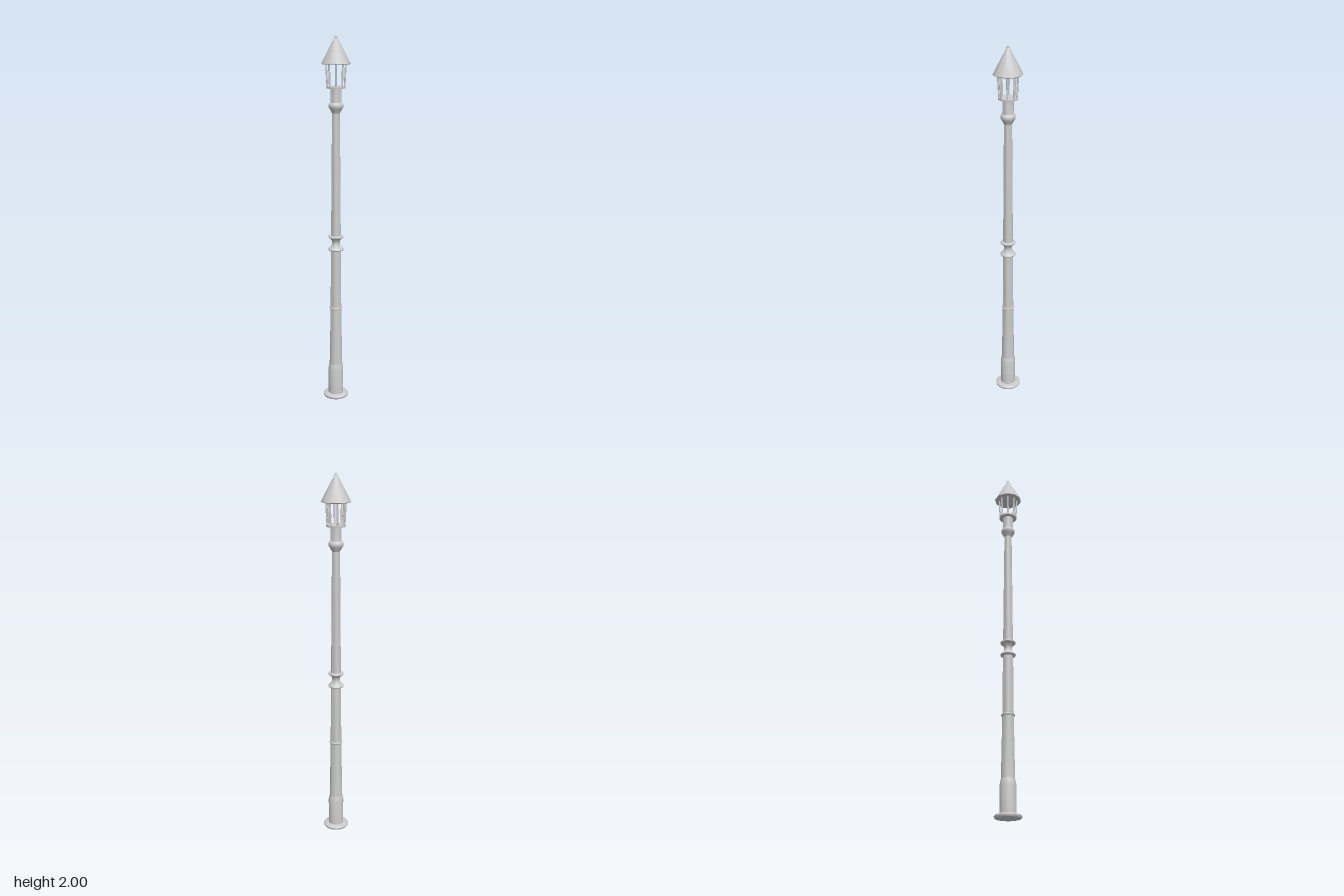
import * as THREE from 'three';
import { toCreasedNormals } from 'three/addons/utils/BufferGeometryUtils.js';

const material = new THREE.MeshStandardMaterial({ color: 0xcccccc, side: THREE.DoubleSide });

// Turned part from [radius, y] points, listed bottom to top
function turned(name, profile, sides = 20, phiStart = 0) {
  const points = profile.map(([r, y]) => new THREE.Vector2(r, y));
  const geometry = new THREE.LatheGeometry(points, sides, phiStart);
  const mesh = new THREE.Mesh(toCreasedNormals(geometry, 0.7), material);
  mesh.name = name;
  return mesh;
}

// Round bar between two points
function bar(name, from, to, radius) {
  const along = to.clone().sub(from);
  const mesh = new THREE.Mesh(new THREE.CylinderGeometry(radius, radius, along.length(), 8), material);
  mesh.position.copy(from).add(to).multiplyScalar(0.5);
  mesh.quaternion.setFromUnitVectors(new THREE.Vector3(0, 1, 0), along.normalize());
  mesh.name = name;
  return mesh;
}

export function createModel() {
  const lamp = new THREE.Group();
  lamp.name = 'streetLamp';

  // Foot plate and pedestal
  lamp.add(turned('footPlate', [[0, 0], [0.066, 0], [0.07, 0.006], [0.07, 0.012], [0.064, 0.018], [0.042, 0.02]]));
  lamp.add(turned('pedestal', [[0.042, 0.015], [0.042, 0.165], [0.04, 0.178], [0.036, 0.195]]));

  // Tapered shaft sections
  lamp.add(turned('lowerShaft', [[0.036, 0.19], [0.03, 0.525], [0.03, 0.53], [0.0275, 0.865]]));
  lamp.add(turned('upperShaft', [[0.027, 0.93], [0.021, 1.605]]));

  // Thin ring on the lower shaft
  lamp.add(turned('lowerRing', [[0.029, 0.521], [0.034, 0.522], [0.036, 0.527], [0.034, 0.532], [0.029, 0.533]]));

  // Double ring with a waisted neck
  lamp.add(turned('middleKnot', [
    [0.027, 0.857], [0.039, 0.859], [0.042, 0.864], [0.039, 0.87], [0.03, 0.876],
    [0.023, 0.888], [0.021, 0.9], [0.023, 0.912], [0.03, 0.924],
    [0.039, 0.929], [0.042, 0.934], [0.039, 0.94], [0.026, 0.942],
  ]));

  // Bulging capital and collar below the lantern
  lamp.add(turned('capital', [
    [0.021, 1.602], [0.025, 1.61], [0.034, 1.625], [0.039, 1.634], [0.039, 1.643],
    [0.036, 1.652], [0.03, 1.657], [0.029, 1.663], [0.029, 1.735],
  ]));

  // Lantern: floor, leaning posts and top ring
  const lantern = new THREE.Group();
  lantern.name = 'lantern';
  lantern.add(turned('lanternFloor', [[0, 1.73], [0.049, 1.73], [0.05, 1.733], [0.05, 1.738], [0.049, 1.741], [0, 1.741]]));
  const postCount = 8;
  for (let i = 0; i < postCount; i++) {
    const a = (i / postCount) * Math.PI * 2;
    const at = (r, y) => new THREE.Vector3(r * Math.sin(a), y, r * Math.cos(a));
    lantern.add(bar('lanternPost', at(0.045, 1.736), at(0.051, 1.857), 0.0045));
  }
  lamp.add(lantern);

  // Ten-sided pointed roof with a small tip
  lamp.add(turned('roof', [[0, 1.853], [0.074, 1.853], [0.077, 1.856], [0.075, 1.861], [0.007, 1.988]], 10, Math.PI / 10));
  lamp.add(turned('roofTip', [[0.007, 1.984], [0.009, 1.988], [0.007, 1.994], [0.003, 1.999], [0, 2]], 10, Math.PI / 10));

  return lamp;
}
